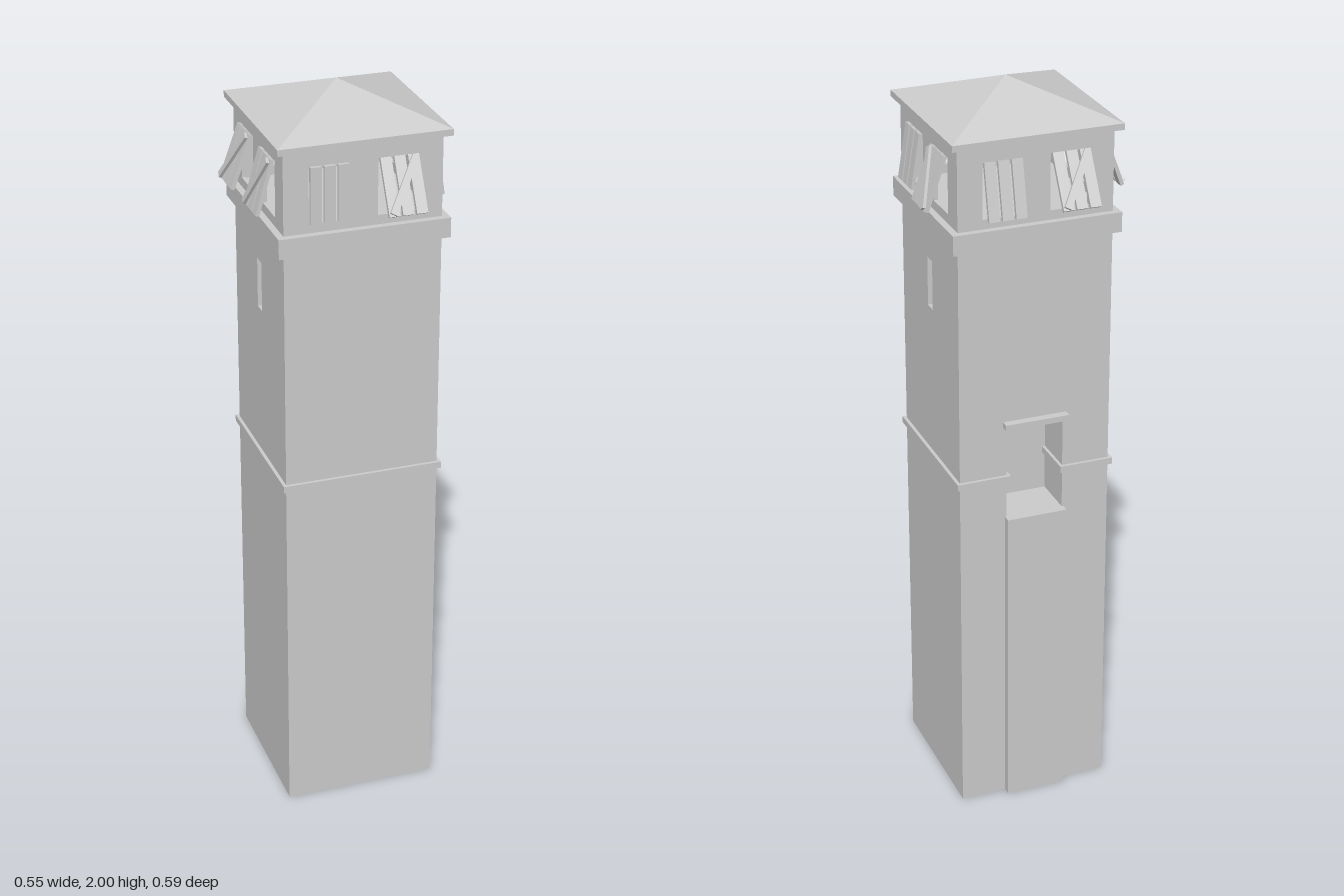
import * as THREE from 'three';

const H = 0.208;                       // half width of the tower
const WIN = { x: 0.09, w: 0.104, y0: 1.708, y1: 1.857 };
const NICHE = { half: 0.078, top: 1.13, depth: 0.12 };

const mat = new THREE.MeshStandardMaterial({ color: 0xcccccc, flatShading: true, side: THREE.DoubleSide });

function mesh(geo, name, parent, x = 0, y = 0, z = 0) {
  const m = new THREE.Mesh(geo, mat);
  m.name = name;
  m.position.set(x, y, z);
  parent.add(m);
  return m;
}

// box given by its limits
function block(name, parent, x0, x1, y0, y1, z0, z1) {
  return mesh(new THREE.BoxGeometry(x1 - x0, y1 - y0, z1 - z0), name, parent,
    (x0 + x1) / 2, (y0 + y1) / 2, (z0 + z1) / 2);
}

const poly = (pts) => pts.map(([x, y]) => new THREE.Vector2(x, y));
const rect = (x0, x1, y0, y1) => poly([[x0, y0], [x1, y0], [x1, y1], [x0, y1]]);

// recess behind the wall plane: two jambs, a head, a back and optionally a sill
function pocket(name, parent, half, y0, y1, depth, sill) {
  const g = new THREE.Group();
  g.name = name;
  const h = y1 - y0, yc = (y0 + y1) / 2;
  mesh(new THREE.PlaneGeometry(half * 2, h), 'recessBack', g, 0, yc, H - depth);
  for (const s of [-1, 1]) {
    mesh(new THREE.PlaneGeometry(depth, h), 'recessJamb', g, s * half, yc, H - depth / 2).rotation.y = -s * Math.PI / 2;
  }
  mesh(new THREE.PlaneGeometry(half * 2, depth), 'recessHead', g, 0, y1, H - depth / 2).rotation.x = Math.PI / 2;
  if (sill) mesh(new THREE.PlaneGeometry(half * 2, depth), 'recessSill', g, 0, y0, H - depth / 2).rotation.x = -Math.PI / 2;
  parent.add(g);
}

// plank shutter hinged at its top edge; brace is 0 for none or the leaning direction
function shutter(parent, x, degrees, brace) {
  const g = new THREE.Group();
  g.name = 'shutter';
  g.position.set(x, WIN.y1, H);
  g.rotation.x = -THREE.MathUtils.degToRad(degrees);
  for (let i = -1; i <= 1; i++) {
    block('plank', g, i * 0.036 - 0.0145, i * 0.036 + 0.0145, -0.148, 0, 0, 0.01);
  }
  if (brace) {
    const b = mesh(new THREE.BoxGeometry(0.018, 0.16, 0.008), 'brace', g, 0, -0.074, 0.014);
    b.rotation.z = -brace * 0.53;
  }
  parent.add(g);
}

export function createModel() {
  const model = new THREE.Group();
  model.name = 'watchtower';

  // the four sides, each drawn facing +z and then turned; shutters: [angle, brace] for -x and +x window
  const sides = [
    { name: 'front', turn: 0, shutters: [[0, 0], [29, 1]] },
    { name: 'left', turn: 1, slit: true, shutters: [[9, 0], [20, -1]] },
    { name: 'back', turn: 2, niche: true, shutters: [[13, 0], [31, 1]] },
    { name: 'right', turn: 3, slit: true, shutters: [[20, 1], [16, 1]] },
  ];

  for (const side of sides) {
    const g = new THREE.Group();
    g.name = side.name + 'Side';
    g.rotation.y = side.turn * Math.PI / 2;
    model.add(g);

    // shaft wall, with a doorway or a slit cut into it
    const n = NICHE;
    const shape = new THREE.Shape(side.niche
      ? poly([[-H, 0], [-n.half, 0], [-n.half, n.top], [n.half, n.top], [n.half, 0], [H, 0], [H, 1.64], [-H, 1.64]])
      : rect(-H, H, 0, 1.64));
    if (side.slit) {
      shape.holes.push(new THREE.Path(rect(-0.018, 0.018, 1.4, 1.535)));
      pocket('slitWindow', g, 0.018, 1.4, 1.535, 0.03, true);
    }
    mesh(new THREE.ShapeGeometry(shape), 'shaftWall', g, 0, 0, H);

    // string course, interrupted by the doorway and returned along its jambs
    if (side.niche) {
      for (const s of [-1, 1]) {
        const a = s * n.half, b = s * 0.217;
        block('stringCourse', g, Math.min(a, b), Math.max(a, b), 0.97, 0.988, H - 0.01, 0.217);
        const c = s * (n.half - 0.008);
        block('stringCourseReturn', g, Math.min(a, c), Math.max(a, c), 0.97, 0.988, H - n.depth, 0.217);
      }
      pocket('doorway', g, n.half, 0, n.top, n.depth, false);
      block('lintel', g, -0.088, 0.088, 1.127, 1.143, H - 0.01, 0.23);
      // tall block standing in the doorway, open underneath
      const geo = new THREE.BoxGeometry(0.165, 0.865, 0.022);
      mesh(geo, 'doorBlock', g, 0, 0.4325, H + 0.011);
      mesh(new THREE.PlaneGeometry(n.half * 2, n.depth), 'doorBlockTop', g, 0, 0.865, H - n.depth / 2).rotation.x = -Math.PI / 2;
    } else {
      block('stringCourse', g, -0.217, 0.217, 0.97, 0.988, H - 0.01, 0.217);
    }

    // lookout wall with two windows
    const wall = new THREE.Shape(rect(-H, H, 1.68, 1.905));
    for (const s of [-1, 1]) {
      wall.holes.push(new THREE.Path(rect(s * WIN.x - WIN.w / 2, s * WIN.x + WIN.w / 2, WIN.y0, WIN.y1)));
    }
    mesh(new THREE.ExtrudeGeometry(wall, { depth: 0.012, bevelEnabled: false }), 'lookoutWall', g, 0, 0, H - 0.012);

    side.shutters.forEach(([angle, brace], i) => shutter(g, (i ? 1 : -1) * WIN.x, angle, brace));
  }

  // collar under the lookout
  block('collar', model, -0.226, 0.226, 1.63, 1.683, -0.226, 0.226);

  // eaves and pyramid roof
  block('eaves', model, -0.227, 0.227, 1.9, 1.917, -0.227, 0.227);
  const roof = new THREE.ConeGeometry(0.227 * Math.SQRT2, 0.083, 4, 1, true);
  roof.rotateY(Math.PI / 4);
  mesh(roof, 'roof', model, 0, 1.9585, 0);

  return model;
}
